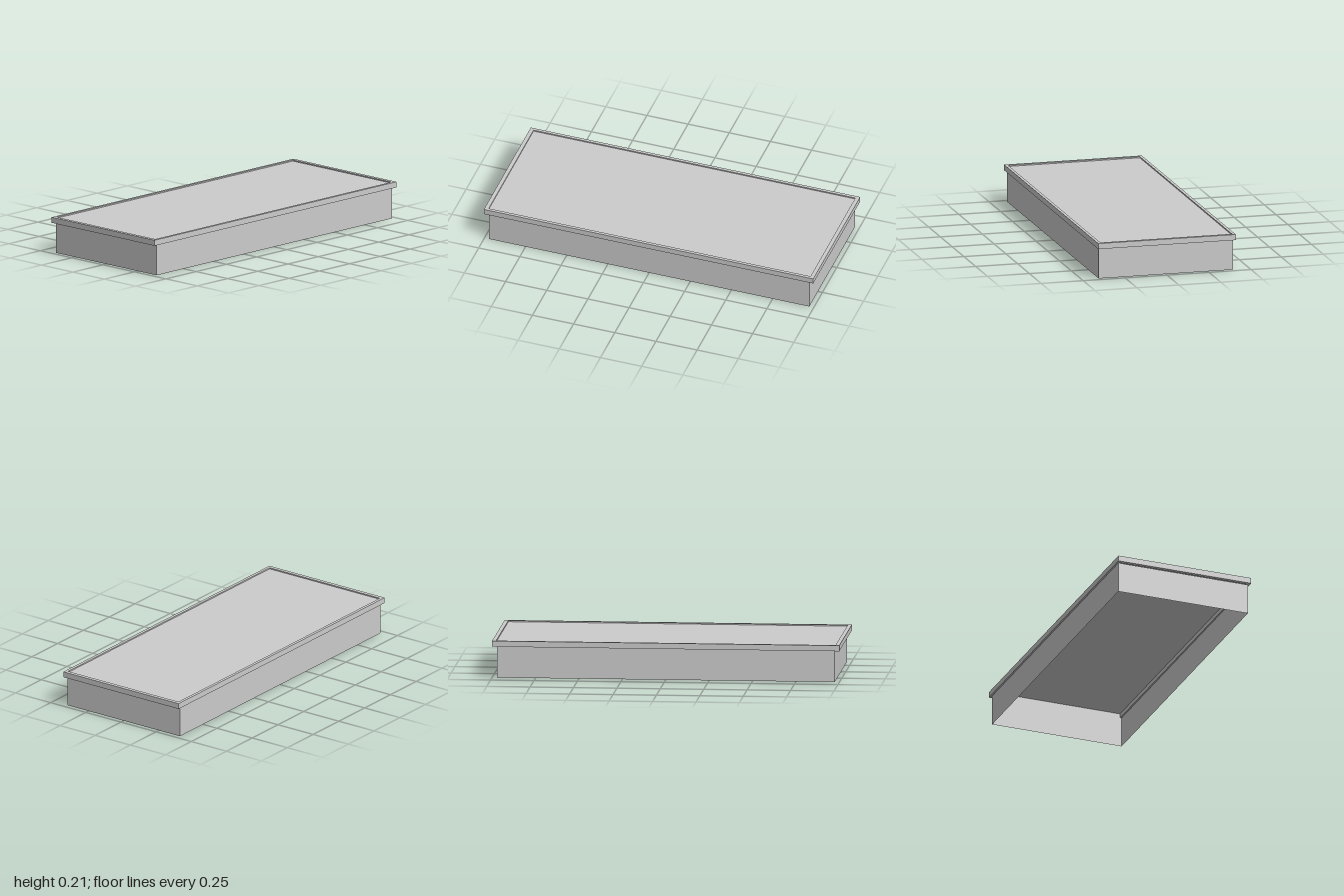
import * as THREE from 'three';

const material = new THREE.MeshStandardMaterial({ color: 0xcccccc, side: THREE.DoubleSide });

function addMesh(group, name, geometry) {
  const mesh = new THREE.Mesh(geometry, material);
  mesh.name = name;
  group.add(mesh);
  return mesh;
}

function rectangle(PathType, halfX, halfZ) {
  return new PathType([
    new THREE.Vector2(-halfX, -halfZ), new THREE.Vector2(halfX, -halfZ),
    new THREE.Vector2(halfX, halfZ), new THREE.Vector2(-halfX, halfZ),
  ]);
}

export function createModel() {
  const group = new THREE.Group();
  const wallX = 0.973, wallZ = 0.4, wallHeight = 0.18;
  const rimX = 1, rimZ = 0.41, rimHeight = 0.033;
  const innerX = 0.977, innerZ = 0.392;

  // Thin side walls, open underneath
  const walls = new THREE.Group();
  walls.name = 'walls';
  for (const side of [1, -1]) {
    const long = addMesh(walls, side > 0 ? 'frontWall' : 'backWall',
      new THREE.PlaneGeometry(2 * wallX, wallHeight));
    long.position.set(0, wallHeight / 2, side * wallZ);
    long.rotation.y = side > 0 ? 0 : Math.PI;

    const short = addMesh(walls, side > 0 ? 'leftWall' : 'rightWall',
      new THREE.PlaneGeometry(2 * wallZ, wallHeight));
    short.position.set(side * wallX, wallHeight / 2, 0);
    short.rotation.y = side * Math.PI / 2;
  }
  group.add(walls);

  // Overhanging rim frame
  const frame = rectangle(THREE.Shape, rimX, rimZ);
  frame.holes.push(rectangle(THREE.Path, innerX, innerZ));
  const rim = addMesh(group, 'rim',
    new THREE.ExtrudeGeometry(frame, { depth: rimHeight, bevelEnabled: false }));
  rim.rotation.x = -Math.PI / 2;
  rim.position.y = wallHeight;

  // Top panel, slightly recessed inside the rim
  const panel = addMesh(group, 'topPanel', new THREE.PlaneGeometry(2 * innerX, 2 * innerZ));
  panel.rotation.x = -Math.PI / 2;
  panel.position.y = 0.206;

  return group;
}
